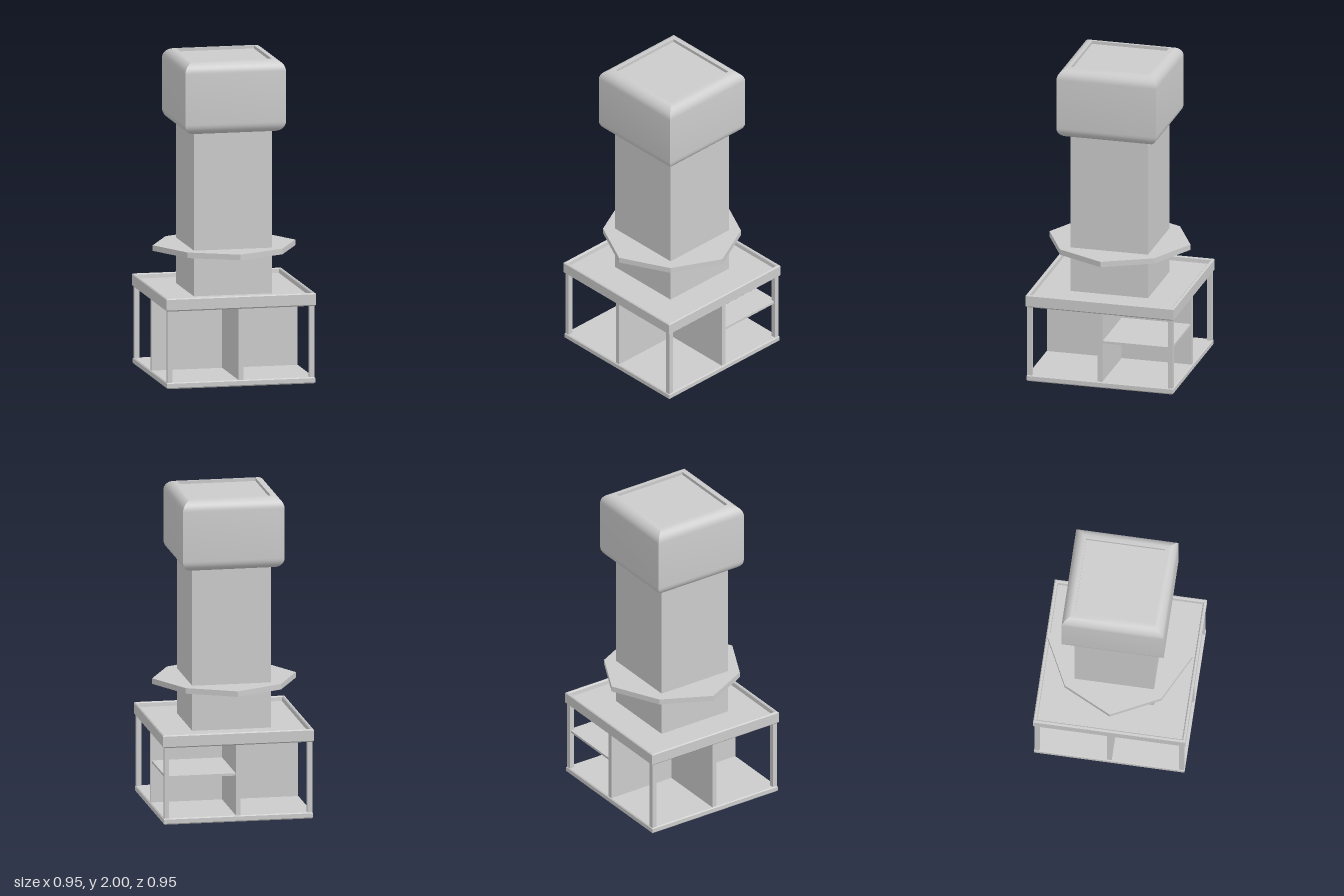
import * as THREE from 'three';
import { toCreasedNormals } from 'three/addons/utils/BufferGeometryUtils.js';

const material = new THREE.MeshStandardMaterial({ color: 0xcccccc });

export function createModel() {
  const group = new THREE.Group();

  const add = (name, geometry) => {
    const mesh = new THREE.Mesh(geometry, material);
    mesh.name = name;
    group.add(mesh);
    return mesh;
  };

  // Box given by its limits on each axis
  const box = (name, x0, x1, y0, y1, z0, z1) => {
    const mesh = add(name, new THREE.BoxGeometry(x1 - x0, y1 - y0, z1 - z0));
    mesh.position.set((x0 + x1) / 2, (y0 + y1) / 2, (z0 + z1) / 2);
    return mesh;
  };

  // Profile of [half width, height] swept around a square, with mitred corners
  const squareSweep = (name, profile) => {
    const points = profile.map(([h, y]) => new THREE.Vector2(h * Math.SQRT2, y));
    const lathe = new THREE.LatheGeometry(points, 4, Math.PI / 4);
    return add(name, toCreasedNormals(lathe, 0.45));
  };

  // Cabinet floor with softened edges
  squareSweep('cabinetFloor', [
    [0, 0], [0.46, 0], [0.468, 0.008], [0.468, 0.034], [0.462, 0.04], [0, 0.04],
  ]);

  // Corner posts
  for (const sx of [-1, 1]) {
    for (const sz of [-1, 1]) {
      const post = box('cornerPost', -0.015, 0.015, 0.04, 0.49, -0.015, 0.015);
      post.position.x = sx * 0.449;
      post.position.z = sz * 0.449;
    }
  }

  // Crossed dividers and the single shelf in the back compartment
  box('dividerAcross', -0.462, 0.462, 0.04, 0.488, -0.015, 0.015);
  box('dividerLengthwise', -0.015, 0.015, 0.04, 0.488, -0.462, 0.462);
  box('shelf', 0.015, 0.455, 0.29, 0.305, -0.455, -0.015);

  // Cabinet top: a shallow tray with a raised rim
  squareSweep('cabinetTop', [
    [0, 0.485], [0.465, 0.485], [0.473, 0.493], [0.473, 0.559],
    [0.467, 0.565], [0.459, 0.565], [0.453, 0.559], [0.45, 0.535], [0, 0.535],
  ]);

  // Square column
  box('column', -0.247, 0.247, 0.53, 1.98, -0.247, 0.247);

  // Octagonal collar plate
  const collarShape = new THREE.Shape([
    [0.45, 0], [0.3, 0.3], [0, 0.45], [-0.3, 0.3],
    [-0.45, 0], [-0.3, -0.3], [0, -0.45], [0.3, -0.3],
  ].map(([x, y]) => new THREE.Vector2(x, y)));
  const collar = add('collarPlate',
    new THREE.ExtrudeGeometry(collarShape, { depth: 0.035, bevelEnabled: false }));
  collar.rotation.x = -Math.PI / 2;
  collar.position.y = 0.785;

  // Padded head: a rounded band around the column top
  const radius = 0.068;
  const outer = 0.318;
  const profile = [[0.247, 1.55]];
  const arc = (cy, start) => {
    for (let i = 0; i <= 8; i++) {
      const a = start + (i / 8) * Math.PI / 2;
      profile.push([outer - radius + radius * Math.cos(a), cy + radius * Math.sin(a)]);
    }
  };
  arc(1.55 + radius, -Math.PI / 2);
  arc(2 - radius, 0);
  profile.push([0.245, 2], [0.245, 1.97]);
  squareSweep('paddedHead', profile);

  return group;
}
